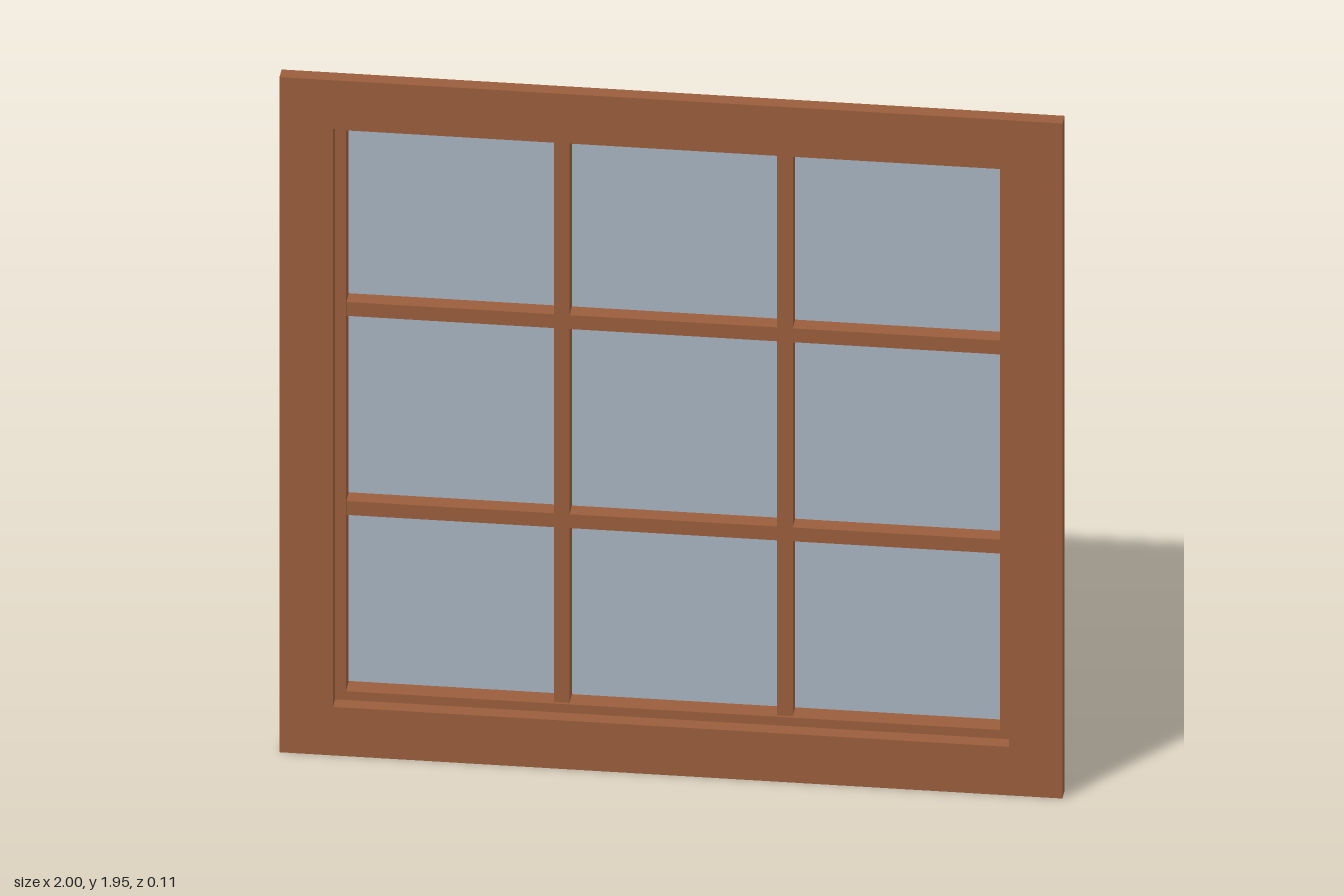
import * as THREE from 'three';

export function createModel() {
  const model = new THREE.Group();
  model.name = 'window';
  const wood = new THREE.MeshStandardMaterial({ name: 'brown wood', color: 0x9a5e3c });
  const glass = new THREE.MeshStandardMaterial({ name: 'pale blue glass', color: 0xa8b4c0 });

  // Box given by its limits on each axis
  function box(name, material, [x0, x1], [y0, y1], [z0, z1]) {
    const mesh = new THREE.Mesh(new THREE.BoxGeometry(x1 - x0, y1 - y0, z1 - z0), material);
    mesh.position.set((x0 + x1) / 2, (y0 + y1) / 2, (z0 + z1) / 2);
    mesh.name = name;
    model.add(mesh);
  }

  const trimZ = [0.012, 0.053];
  const sashZ = [-0.043, 0.012];
  const barZ = [-0.043, 0.004];
  const paneZ = [-0.053, -0.043];

  // Front trim: rails run the full width, stiles fit between them
  box('trimBottomRail', wood, [-1, 1], [0, 0.14], trimZ);
  box('trimTopRail', wood, [-1, 1], [1.81, 1.95], trimZ);
  box('trimRightStile', wood, [-1, -0.863], [0.14, 1.81], trimZ);
  box('trimLeftStile', wood, [0.863, 1], [0.14, 1.81], trimZ);

  // Inner frame behind the trim: stiles run the full height
  box('frameRightStile', wood, [-0.942, -0.835], [0.058, 1.892], sashZ);
  box('frameLeftStile', wood, [0.835, 0.942], [0.058, 1.892], sashZ);
  box('frameBottomRail', wood, [-0.835, 0.835], [0.058, 0.165], sashZ);
  box('frameTopRail', wood, [-0.835, 0.835], [1.785, 1.892], sashZ);

  // Glazing bars: two uprights, and crossbars split by them
  for (const x of [-0.285, 0.285]) {
    box('uprightBar', wood, [x - 0.02, x + 0.02], [0.165, 1.785], barZ);
  }
  for (const y of [0.69, 1.265]) {
    for (const span of [[-0.835, -0.305], [-0.265, 0.265], [0.305, 0.835]]) {
      box('crossbar', wood, span, [y - 0.02, y + 0.02], barZ);
    }
  }

  // Single pane fixed to the back
  box('glassPane', glass, [-0.86, 0.86], [0.115, 1.835], paneZ);

  return model;
}
